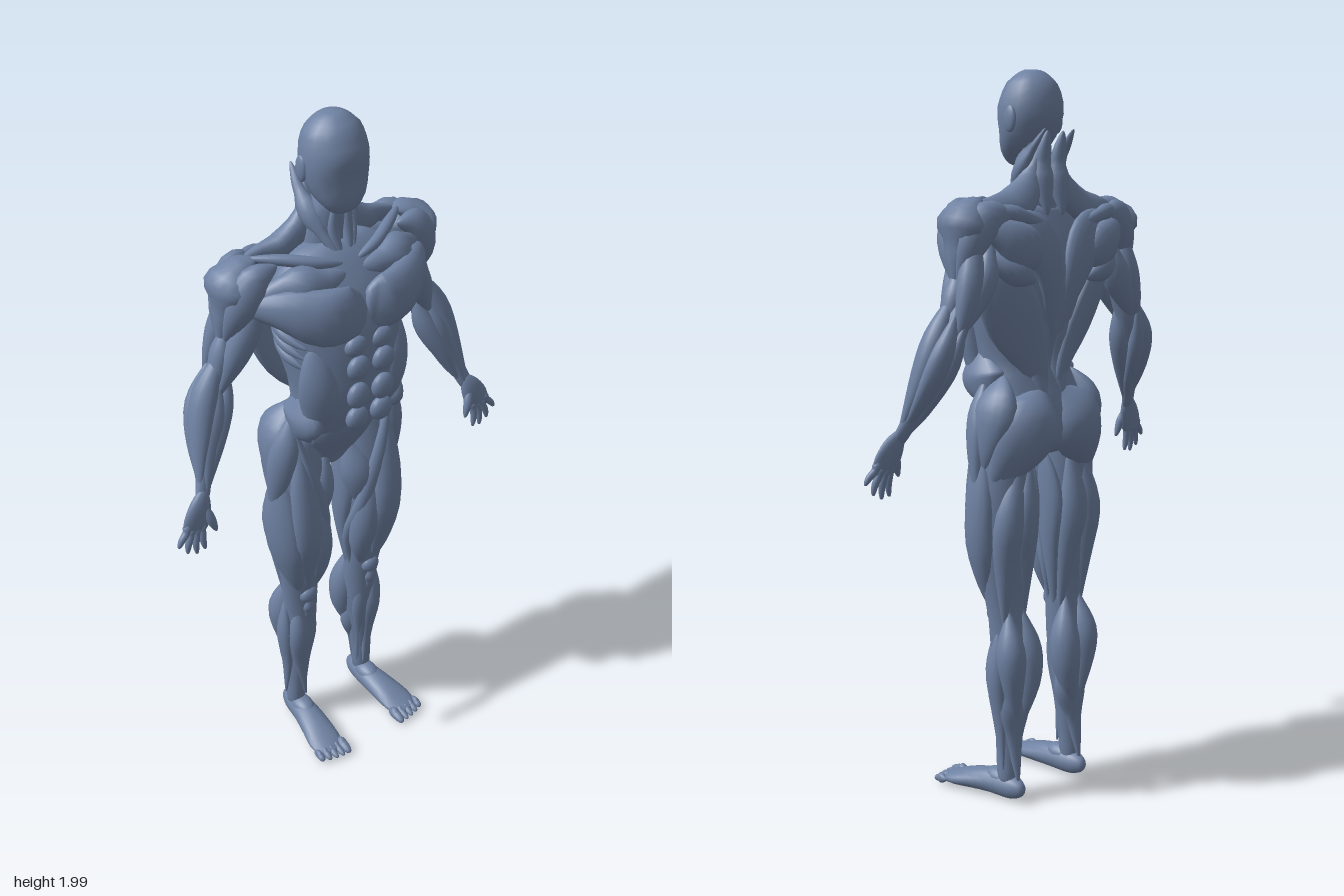
import * as THREE from 'three';

const slate = new THREE.MeshStandardMaterial({ color: 0x6f82a3 });
slate.name = 'slateBlue';

// Closed spindle swept along a curve. Points are [x, y, z, halfWidth, halfDepth];
// "face" is the direction of the depth, "taper" sets how quickly the ends close.
function sweep(points, face, taper = 0.5, rows = 18, sides = 16) {
  const path = new THREE.CatmullRomCurve3(points.map(p => new THREE.Vector3(p[0], p[1], p[2])));
  const size = new THREE.CatmullRomCurve3(points.map(p => new THREE.Vector3(p[3], p[4], 0)));
  const f = new THREE.Vector3(...face);
  const pos = [], index = [];
  for (let i = 0; i <= rows; i++) {
    const t = (1 - Math.cos(Math.PI * i / rows)) / 2;
    const k = Math.pow(Math.max(0, Math.sin(Math.PI * t)), taper) * (i % rows ? 1 : 0);
    const c = path.getPoint(t), s = size.getPoint(t), T = path.getTangent(t);
    const B = T.clone().cross(f).normalize(), N = B.clone().cross(T);
    for (let j = 0; j < sides; j++) {
      const a = 2 * Math.PI * j / sides;
      const p = c.clone().addScaledVector(B, s.x * k * Math.cos(a)).addScaledVector(N, s.y * k * Math.sin(a));
      pos.push(p.x, p.y, p.z);
      if (i < rows) {
        const n = (j + 1) % sides, r = i * sides, q = r + sides;
        index.push(r + j, q + j, r + n, q + j, q + n, r + n);
      }
    }
  }
  const g = new THREE.BufferGeometry();
  g.setAttribute('position', new THREE.Float32BufferAttribute(pos, 3));
  g.setIndex(index);
  g.computeVertexNormals();
  return g;
}

const FRONT = [0, 0, 1], BACK = [0, 0, -1], OUT = [1, 0, 0], UP = [0, 1, 0];

export function createModel() {
  const model = new THREE.Group();
  model.name = 'muscleFigure';

  const single = (parent, name, face, points, taper) => {
    const mesh = new THREE.Mesh(sweep(points, face, taper), slate);
    mesh.name = name;
    parent.add(mesh);
  };
  // Same part on both sides, +x is the left one
  const pair = (parent, name, face, points, taper) => {
    for (const s of [1, -1]) {
      single(parent, (s > 0 ? 'left ' : 'right ') + name, [face[0] * s, face[1], face[2]],
        points.map(p => [p[0] * s, ...p.slice(1)]), taper);
    }
  };
  const bump = (parent, name, x, y, z, rx, ry, rz) => {
    for (const s of [1, -1]) {
      const mesh = new THREE.Mesh(new THREE.SphereGeometry(1, 16, 12), slate);
      mesh.name = (s > 0 ? 'left ' : 'right ') + name;
      mesh.scale.set(rx, ry, rz);
      mesh.position.set(x * s, y, z);
      parent.add(mesh);
    }
  };
  const region = name => {
    const g = new THREE.Group();
    g.name = name;
    model.add(g);
    return g;
  };

  // Head and neck
  const head = region('headAndNeck');
  single(head, 'skull', FRONT, [[0, 1.75, .015, .06, .037], [0, 1.79, .008, .076, .05], [0, 1.84, -.015, .088, .072],
    [0, 1.9, -.03, .092, .087], [0, 1.96, -.034, .085, .078], [0, 2, -.035, .058, .055]], .25);
  bump(head, 'ear', .09, 1.87, -.04, .01, .035, .02);
  single(head, 'neckCore', FRONT, [[0, 1.58, -.05, .09, .06], [0, 1.68, -.05, .07, .052], [0, 1.76, -.045, .06, .05], [0, 1.86, -.045, .06, .05]], .15);
  pair(head, 'neckStrap', [.6, 0, 1], [[.055, 1.845, -.135, .014, .01], [.062, 1.78, -.085, .017, .013], [.05, 1.7, -.02, .017, .013], [.012, 1.61, .035, .012, .01]]);
  pair(head, 'throatStrap', FRONT, [[.02, 1.77, 0, .014, .012], [.022, 1.69, 0, .015, .012], [.008, 1.61, .03, .012, .01]]);
  pair(head, 'napeMuscle', BACK, [[.03, 1.84, -.12, .02, .015], [.03, 1.75, -.1, .025, .02], [.03, 1.62, -.12, .025, .02]]);

  // Trunk
  const trunk = region('trunk');
  single(trunk, 'trunkCore', FRONT, [[0, .98, -.06, .1, .07], [0, 1.05, -.065, .16, .085], [0, 1.12, -.045, .175, .085],
    [0, 1.2, -.005, .15, .1], [0, 1.3, .005, .158, .122], [0, 1.4, -.01, .18, .14], [0, 1.5, -.02, .195, .14],
    [0, 1.6, -.035, .2, .1], [0, 1.66, -.05, .13, .07]], .1);
  pair(trunk, 'chestMuscle', [.25, 0, 1], [[.002, 1.53, .095, .085, .035], [.05, 1.52, .105, .085, .035], [.12, 1.525, .095, .08, .042],
    [.2, 1.55, .045, .062, .04], [.28, 1.55, -.04, .04, .03]], .3);
  pair(trunk, 'upperChestMuscle', [.1, .5, 1], [[.01, 1.6, .05, .03, .02], [.1, 1.6, .05, .035, .025], [.19, 1.6, .02, .035, .025], [.28, 1.55, -.02, .03, .02]]);
  pair(trunk, 'collarBone', FRONT, [[.012, 1.62, .04, .016, .016], [.09, 1.64, .025, .016, .016], [.17, 1.655, -.02, .016, .016], [.24, 1.66, -.07, .016, .016]]);
  [[1.425, .118, .03], [1.365, .13, .035], [1.28, .13, .038], [1.207, .125, .035]].forEach(([y, z, r], i) =>
    bump(trunk, 'abdominal' + (i + 1), .04, y, z, .035, r, .02));
  single(trunk, 'lowerAbdomen', FRONT, [[0, 1.21, .05, .075, .045], [0, 1.13, .02, .11, .045], [0, 1.04, -.02, .105, .035], [0, .95, -.045, .05, .03]], .3);
  pair(trunk, 'sideAbdomen', [.5, 0, 1], [[.13, 1.44, .06, .05, .03], [.125, 1.33, .07, .055, .035], [.115, 1.24, .06, .055, .04], [.13, 1.14, .03, .045, .035]]);
  pair(trunk, 'flankBulge', OUT, [[.14, 1.26, .02, .05, .02], [.135, 1.19, .015, .075, .04], [.15, 1.12, -.01, .05, .03]]);
  for (let i = 0; i < 4; i++) {
    const y = 1.49 - i * .035, x = .188 - i * .006;
    pair(trunk, 'ribFinger' + (i + 1), OUT, [[x, y + .03, -.06, .016, .014], [x - .002, y, -.005, .017, .016], [x - .03, y - .03, .06, .013, .014]]);
  }

  // Back
  const back = region('back');
  pair(back, 'upperTrapezius', [0, .6, -1], [[.03, 1.82, -.105, .03, .02], [.05, 1.72, -.085, .04, .03], [.12, 1.65, -.09, .05, .035], [.19, 1.645, -.095, .04, .025], [.26, 1.65, -.08, .03, .02]]);
  pair(back, 'lowerTrapezius', BACK, [[.18, 1.63, -.12, .04, .02], [.1, 1.57, -.145, .065, .025], [.05, 1.47, -.15, .05, .022], [.015, 1.3, -.115, .03, .02]]);
  pair(back, 'shoulderBladeMuscle', [.3, 0, -1], [[.07, 1.5, -.145, .04, .03], [.14, 1.53, -.15, .065, .036], [.2, 1.57, -.135, .05, .035], [.28, 1.6, -.09, .03, .025]]);
  pair(back, 'bladeSpine', BACK, [[.05, 1.59, -.15, .015, .012], [.15, 1.62, -.145, .018, .015], [.26, 1.64, -.11, .018, .015]]);
  pair(back, 'lowerBladeMuscle', [.3, 0, -1], [[.1, 1.45, -.145, .025, .02], [.17, 1.48, -.135, .038, .036], [.25, 1.53, -.09, .025, .025]]);
  pair(back, 'wideBackMuscle', [.6, 0, -1], [[.23, 1.55, -.07, .045, .025], [.185, 1.45, -.095, .085, .035], [.125, 1.34, -.095, .08, .03], [.06, 1.23, -.095, .055, .025], [.02, 1.12, -.1, .03, .02]]);
  pair(back, 'spineMuscle', BACK, [[.03, 1.48, -.13, .025, .02], [.038, 1.33, -.105, .035, .025], [.04, 1.22, -.09, .038, .025], [.03, 1.09, -.12, .03, .025]]);

  // Arms
  const arms = region('arms');
  pair(arms, 'armCore', FRONT, [[.24, 1.64, -.07, .05, .05], [.275, 1.5, -.075, .04, .042], [.315, 1.39, -.085, .034, .034],
    [.35, 1.31, -.085, .036, .034], [.4, 1.2, -.05, .033, .03], [.435, 1.1, -.015, .025, .019], [.455, 1.05, .005, .028, .015]], .12);
  pair(arms, 'frontDeltoid', [.5, 0, 1], [[.19, 1.65, -.01, .03, .025], [.255, 1.625, -.015, .045, .035], [.295, 1.55, -.025, .042, .034], [.32, 1.44, -.07, .02, .02]]);
  pair(arms, 'sideDeltoid', [1, .4, 0], [[.22, 1.66, -.06, .04, .02], [.275, 1.635, -.07, .05, .035], [.307, 1.56, -.07, .05, .035], [.325, 1.43, -.075, .02, .02]]);
  pair(arms, 'rearDeltoid', [.5, 0, -1], [[.17, 1.62, -.14, .03, .02], [.25, 1.615, -.12, .05, .035], [.295, 1.55, -.105, .045, .034], [.325, 1.44, -.085, .02, .02]]);
  pair(arms, 'biceps', FRONT, [[.235, 1.6, -.035, .03, .025], [.262, 1.5, -.035, .042, .036], [.3, 1.41, -.045, .04, .034], [.355, 1.3, -.055, .02, .018]]);
  pair(arms, 'outerUpperArm', OUT, [[.31, 1.49, -.07, .02, .018], [.332, 1.41, -.072, .03, .026], [.365, 1.3, -.06, .02, .02]]);
  pair(arms, 'outerTriceps', [.5, 0, -1], [[.28, 1.6, -.1, .03, .025], [.303, 1.48, -.112, .036, .032], [.33, 1.39, -.118, .028, .022], [.35, 1.32, -.115, .02, .016]]);
  pair(arms, 'innerTriceps', [-.5, 0, -1], [[.225, 1.57, -.1, .03, .025], [.25, 1.47, -.11, .044, .036], [.295, 1.39, -.112, .034, .026], [.345, 1.32, -.11, .02, .018]]);
  pair(arms, 'outerForearm', [1, 0, .5], [[.325, 1.43, -.07, .025, .02], [.385, 1.32, -.065, .038, .033], [.425, 1.2, -.04, .032, .025], [.46, 1.06, .002, .012, .01]]);
  pair(arms, 'innerForearm', [-1, 0, .6], [[.31, 1.36, -.07, .02, .02], [.338, 1.27, -.06, .036, .032], [.385, 1.17, -.03, .03, .024], [.435, 1.06, 0, .012, .01]]);
  pair(arms, 'frontForearm', FRONT, [[.345, 1.34, -.06, .02, .015], [.37, 1.26, -.04, .03, .022], [.41, 1.16, -.02, .025, .018], [.445, 1.06, .01, .012, .01]]);
  pair(arms, 'backForearm', BACK, [[.35, 1.38, -.105, .02, .018], [.39, 1.28, -.1, .036, .028], [.42, 1.18, -.065, .03, .022], [.45, 1.07, -.005, .015, .01]]);
  pair(arms, 'elbowMuscle', BACK, [[.338, 1.35, -.125, .02, .016], [.365, 1.25, -.1, .028, .024], [.405, 1.13, -.04, .02, .016], [.43, 1.07, -.01, .012, .01]]);

  // Hands
  const hands = region('hands');
  pair(hands, 'palm', FRONT, [[.445, 1.08, 0, .024, .016], [.465, 1.04, .01, .035, .016], [.487, .99, .018, .042, .013], [.495, .965, .02, .036, .01]], .3);
  [[.517, .985, .548, .948], [.505, .972, .522, .918], [.488, .968, .494, .904], [.47, .972, .468, .908]].forEach(([x, y, u, v], i) =>
    pair(hands, 'finger' + (i + 1), FRONT, [[x - .008, y + .03, .016, .011, .01], [x, y, .02, .011, .01], [(x + u) / 2 + .003, (y + v) / 2, .024, .01, .009], [u, v, .026, .009, .008]], .3));
  pair(hands, 'thumb', FRONT, [[.46, 1.04, .012, .016, .012], [.446, 1, .024, .014, .012], [.432, .955, .03, .01, .009]], .35);

  // Hips and thighs
  const legs = region('legs');
  pair(legs, 'legCore', FRONT, [[.11, 1.12, -.05, .08, .07], [.125, .95, -.045, .09, .08], [.127, .8, -.04, .085, .08], [.12, .65, -.04, .066, .06],
    [.114, .53, -.048, .055, .045], [.112, .4, -.062, .052, .055], [.12, .25, -.062, .04, .042], [.126, .14, -.062, .033, .034], [.128, .05, -.065, .035, .037]], .1);
  pair(legs, 'buttock', [.2, .1, -1], [[.025, 1.16, -.1, .05, .03], [.08, 1.08, -.105, .095, .075], [.13, 1, -.095, .085, .06], [.19, .89, -.06, .04, .03]], .4);
  pair(legs, 'hipMuscle', OUT, [[.13, 1.2, -.05, .05, .025], [.165, 1.12, -.06, .075, .045], [.19, 1.02, -.05, .05, .03], [.2, .94, -.045, .03, .02]]);
  pair(legs, 'hipFrontMuscle', [1, 0, .8], [[.155, 1.19, -.01, .025, .02], [.18, 1.09, -.01, .042, .032], [.2, .98, -.02, .035, .025], [.21, .86, -.035, .02, .015]]);
  pair(legs, 'thighFrontMuscle', FRONT, [[.145, 1.13, 0, .02, .018], [.145, .95, .02, .045, .034], [.138, .78, .03, .046, .032], [.125, .64, .01, .028, .02], [.115, .55, -.003, .018, .012]]);
  pair(legs, 'outerThighMuscle', [1, 0, .4], [[.19, 1.03, -.03, .04, .03], [.188, .88, -.025, .065, .042], [.18, .74, -.015, .06, .038], [.155, .62, -.015, .04, .03], [.135, .53, -.02, .02, .015]]);
  pair(legs, 'innerThighMuscle', [-.6, 0, 1], [[.1, .92, .01, .03, .025], [.083, .76, .01, .045, .036], [.078, .64, -.005, .038, .034], [.09, .53, -.02, .022, .018]]);
  pair(legs, 'tailorMuscle', [-.4, 0, 1], [[.165, 1.16, .01, .016, .014], [.115, .98, .028, .022, .016], [.068, .8, .012, .022, .018], [.052, .65, -.035, .02, .016], [.085, .47, -.04, .014, .012]]);
  pair(legs, 'adductor', [-.5, 0, 1], [[.04, 1.02, -.03, .03, .025], [.068, .9, -.01, .05, .04], [.085, .76, -.02, .035, .03]]);
  pair(legs, 'innerThighStrap', [-1, 0, 0], [[.03, .98, -.05, .04, .02], [.045, .86, -.055, .05, .026], [.048, .7, -.06, .03, .02], [.075, .48, -.055, .014, .012]]);
  pair(legs, 'outerHamstring', [.3, 0, -1], [[.12, .98, -.1, .03, .025], [.155, .82, -.1, .045, .04], [.155, .68, -.085, .035, .032], [.15, .49, -.075, .014, .013]]);
  pair(legs, 'innerHamstring', [-.3, 0, -1], [[.08, .98, -.1, .03, .025], [.095, .82, -.105, .045, .035], [.085, .68, -.085, .034, .03], [.075, .48, -.07, .014, .013]]);

  // Knees and shins
  bump(legs, 'kneeCap', .114, .535, -.006, .03, .028, .02);
  pair(legs, 'kneeTendon', FRONT, [[.114, .52, -.01, .014, .012], [.114, .47, -.012, .014, .012], [.112, .42, -.015, .012, .01]]);
  pair(legs, 'innerCalf', [-.4, 0, -1], [[.09, .56, -.08, .02, .018], [.078, .44, -.09, .044, .045], [.082, .34, -.095, .04, .04], [.115, .2, -.095, .016, .014]]);
  pair(legs, 'outerCalf', [.4, 0, -1], [[.14, .56, -.08, .02, .018], [.146, .45, -.095, .042, .045], [.143, .36, -.1, .036, .035], [.125, .21, -.095, .016, .014]]);
  pair(legs, 'deepCalf', BACK, [[.115, .42, -.075, .055, .03], [.115, .29, -.075, .058, .036], [.122, .19, -.085, .03, .02], [.126, .06, -.105, .016, .014]]);
  pair(legs, 'shinMuscle', [.3, 0, 1], [[.135, .5, -.03, .02, .018], [.136, .38, -.028, .035, .03], [.13, .26, -.035, .026, .02], [.112, .1, -.03, .013, .012]]);
  pair(legs, 'shinBone', [-.3, 0, 1], [[.1, .5, -.025, .025, .018], [.095, .38, -.03, .026, .02], [.106, .24, -.042, .02, .014], [.104, .09, -.055, .014, .014]]);
  pair(legs, 'outerShinMuscle', OUT, [[.16, .5, -.06, .02, .016], [.166, .38, -.058, .03, .024], [.156, .24, -.062, .022, .016], [.156, .1, -.075, .013, .011]]);

  // Feet
  const feet = region('feet');
  pair(feet, 'foot', UP, [[.126, .045, -.124, .03, .037], [.126, .045, -.08, .036, .04], [.128, .046, -.01, .04, .036], [.136, .038, .06, .048, .029],
    [.144, .028, .12, .058, .021], [.146, .024, .16, .054, .016]], .3);
  bump(feet, 'instep', .126, .062, -.03, .032, .028, .05);
  for (let i = 0; i < 5; i++) {
    const x = .104 + i * .021, r = i ? .0105 : .0145, z = .186 - i * i * .0012;
    pair(feet, 'toe' + (i + 1), UP, [[x, .026, .12, r, r], [x, .024, .15, r, r], [x, .019, z, r, r * .9]], .35);
  }
  return model;
}
